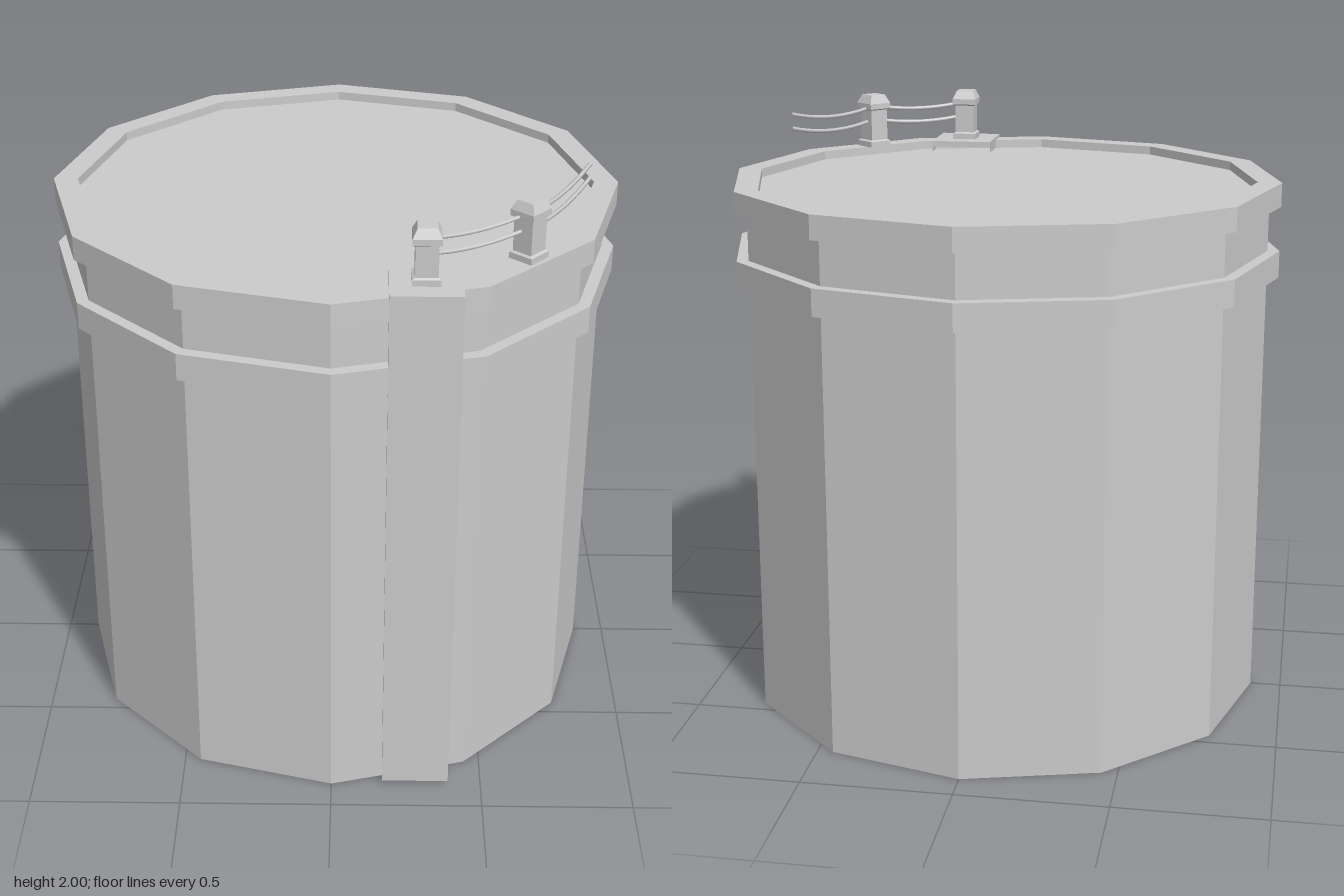
import * as THREE from 'three';

const SIDES = 12;
const material = new THREE.MeshStandardMaterial({ color: 0xcccccc, flatShading: true, side: THREE.DoubleSide });
const smooth = new THREE.MeshStandardMaterial({ color: 0xcccccc });

function add(parent, name, geometry, mat = material) {
  const mesh = new THREE.Mesh(geometry, mat);
  mesh.name = name;
  parent.add(mesh);
  return mesh;
}

// Twelve-sided shell from [radius, height] pairs
function shell(points) {
  return new THREE.LatheGeometry(points.map(([r, y]) => new THREE.Vector2(r, y)), SIDES);
}

// Square-section column from [half width, height] pairs
function squareColumn(points) {
  const profile = points.map(([w, y]) => new THREE.Vector2(w * Math.SQRT2, y));
  return new THREE.LatheGeometry(profile, 4).rotateY(Math.PI / 4);
}

// Sagging cable between two points
function cable(a, b, sag) {
  const mid = a.clone().lerp(b, 0.5);
  mid.y -= sag * 2;
  return new THREE.TubeGeometry(new THREE.QuadraticBezierCurve3(a, mid, b), 10, 0.007, 6, false);
}

export function createModel() {
  const group = new THREE.Group();

  // Tank wall, open underneath
  add(group, 'tankWall', shell([[0.895, 0], [0.895, 1.78]]));

  // Lower band
  add(group, 'lowerBand', shell([[0.89, 1.49], [0.935, 1.49], [0.935, 1.58], [0.89, 1.58]]));

  // Raised rim and recessed roof
  add(group, 'rim', shell([[0.89, 1.73], [0.935, 1.73], [0.935, 1.81], [0.855, 1.81], [0.855, 1.78]]));
  add(group, 'roof', new THREE.CircleGeometry(0.86, SIDES).rotateX(-Math.PI / 2)).position.y = 1.78;

  // Square duct up the outside: a U-shaped sleeve, open to the tank, with a cap
  const duct = new THREE.Group();
  duct.name = 'duct';
  duct.position.set(0.28, 0, 0.79);
  group.add(duct);
  const height = 1.8, width = 0.22;
  const panel = () => new THREE.PlaneGeometry(width, height).translate(0, 0.02 + height / 2, width / 2);
  add(duct, 'ductFront', panel());
  for (const s of [-1, 1]) add(duct, 'ductSide', panel().rotateY(s * Math.PI / 2));
  add(duct, 'ductCap', new THREE.BoxGeometry(width, 0.02, width)).position.y = 1.81;

  // Cable posts
  const posts = [
    { x: 0.28, z: 0.79, base: 1.82, turn: 0 },
    { x: 0.595, z: 0.6, base: 1.81, turn: 0.84 },
  ];
  for (const { x, z, base, turn } of posts) {
    const post = add(group, 'cablePost', squareColumn([
      [0, base], [0.043, base], [0.043, base + 0.02], [0.035, base + 0.025],
      [0.035, 1.945], [0.044, 1.95], [0.044, 1.97], [0.03, 2.0], [0, 2.0],
    ]));
    post.position.set(x, 0, z);
    post.rotation.y = turn;
  }

  // Two cables on each span, the second span ending free
  for (const y of [1.9, 1.95]) {
    const start = new THREE.Vector3(0.29, y + 0.005, 0.785);
    const middle = new THREE.Vector3(0.595, y + 0.008, 0.6);
    const end = new THREE.Vector3(0.81, y + 0.019, 0.235);
    add(group, 'cable', cable(start, middle, 0.016), smooth);
    add(group, 'cable', cable(middle, end, 0.024), smooth);
  }

  return group;
}
